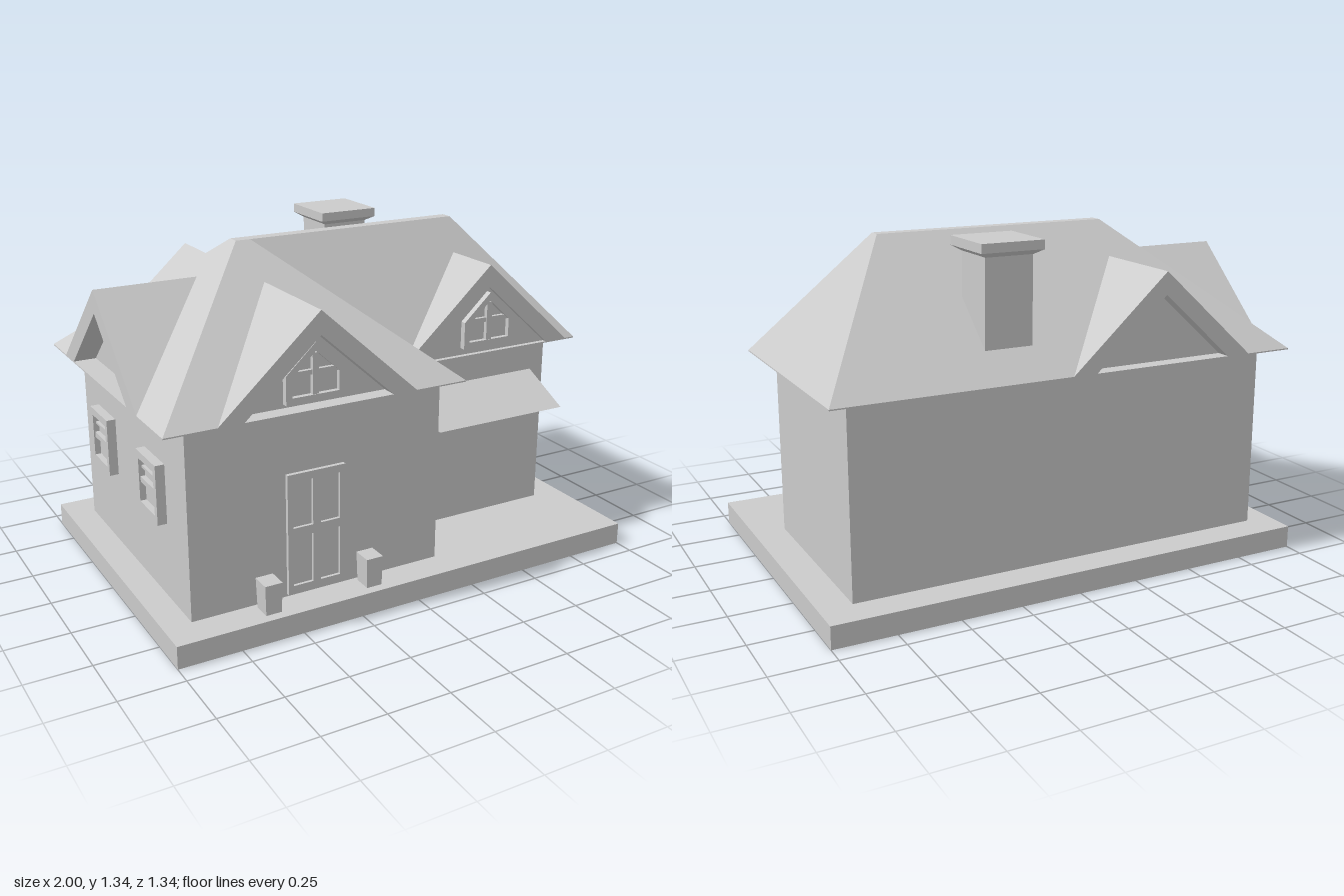
import * as THREE from 'three';

const material = new THREE.MeshStandardMaterial({ color: 0xcccccc, side: THREE.DoubleSide });
const EAVE = 0.84, RIDGE = 1.33, GABLE = 1.2;

function add(parent, name, geometry, x = 0, y = 0, z = 0) {
  const mesh = new THREE.Mesh(geometry, material);
  mesh.name = name;
  mesh.position.set(x, y, z);
  parent.add(mesh);
  return mesh;
}

function box(parent, name, x0, x1, y0, y1, z0, z1) {
  return add(parent, name, new THREE.BoxGeometry(x1 - x0, y1 - y0, z1 - z0),
    (x0 + x1) / 2, (y0 + y1) / 2, (z0 + z1) / 2);
}

const outline = (points) => new THREE.Shape(points.map(([x, y]) => new THREE.Vector2(x, y)));
// Plan outline given as [x, z]
const plan = (points) => outline(points.map(([x, z]) => [x, -z]));
const extrude = (shape, depth) => new THREE.ExtrudeGeometry(shape, { depth, bevelEnabled: false });

function planSlab(parent, name, points, y0, y1) {
  return add(parent, name, extrude(plan(points), y1 - y0).rotateX(-Math.PI / 2), 0, y0, 0);
}

// Roof surface: plan outline lifted by a height rule
function slope(parent, name, points, height) {
  const geometry = new THREE.ShapeGeometry(plan(points)).rotateX(-Math.PI / 2);
  const p = geometry.attributes.position;
  for (let i = 0; i < p.count; i++) p.setY(i, height(p.getX(i), p.getZ(i)));
  geometry.computeVertexNormals();
  return add(parent, name, geometry);
}
const rise = (t) => EAVE + (RIDGE - EAVE) * t;

// Peaked attic window with a cross of glazing bars, facing +z
function atticWindow(parent, x, bottom, z) {
  const g = new THREE.Group();
  g.name = 'atticWindow';
  const pane = (w, y0, y1, y2) => [[-w, y0], [w, y0], [w, y1], [0, y2], [-w, y1]];
  const frame = outline(pane(0.12, 0, 0.11, 0.22));
  frame.holes.push(outline(pane(0.095, 0.025, 0.1, 0.187)));
  add(g, 'windowFrame', extrude(frame, 0.025));
  add(g, 'windowGlass', new THREE.ShapeGeometry(outline(pane(0.1, 0.02, 0.1, 0.19))), 0, 0, 0.005);
  box(g, 'verticalBar', -0.012, 0.012, 0.02, 0.18, 0, 0.022);
  box(g, 'crossBar', -0.095, 0.095, 0.1, 0.118, 0, 0.02);
  g.position.set(x, bottom, z);
  parent.add(g);
}

// Gable in local space: front at z = 0, ridge running back along -z
function gable(parent, name, x, z, turn, length, wallSetback) {
  const g = new THREE.Group();
  g.name = name;
  const chevron = outline([[-0.4, EAVE], [-0.3, EAVE], [0, 1.11], [0.3, EAVE], [0.4, EAVE], [0, GABLE]]);
  add(g, 'gableRoof', extrude(chevron, length), 0, 0, -length);
  add(g, 'gableWall', new THREE.ShapeGeometry(outline([[-0.31, EAVE], [0.31, EAVE], [0, 1.115]])), 0, 0, -wallSetback);
  g.position.set(x, 0, z);
  g.rotation.y = turn;
  parent.add(g);
  return g;
}

// Sash window centred on its own origin, facing +z
function sashWindow(parent, x, y, z, turn) {
  const g = new THREE.Group();
  g.name = 'sashWindow';
  for (const s of [-1, 1]) {
    box(g, 'windowJamb', s * 0.085 - 0.012, s * 0.085 + 0.012, -0.115, 0.115, -0.018, 0.018);
    box(g, 'windowRail', -0.075, 0.075, s * 0.1 - 0.015, s * 0.1 + 0.015, -0.018, 0.018);
  }
  box(g, 'middleRail', -0.075, 0.075, -0.01, 0.012, -0.015, 0.012);
  box(g, 'upperBar', -0.075, 0.075, 0.045, 0.055, -0.01, 0.006);
  box(g, 'windowGlass', -0.08, 0.08, -0.1, 0.1, -0.015, -0.006);
  g.position.set(x, y, z);
  g.rotation.y = turn;
  parent.add(g);
}

export function createModel() {
  const house = new THREE.Group();
  house.name = 'house';

  box(house, 'foundation', -1, 1, 0, 0.09, -0.67, 0.67);

  // L-shaped walls and eaves
  planSlab(house, 'walls', [[-0.89, -0.54], [0.87, -0.54], [0.87, 0.265], [0.155, 0.265], [0.155, 0.54], [-0.89, 0.54]], 0.09, EAVE);
  planSlab(house, 'soffit', [[-0.99, -0.61], [0.955, -0.61], [0.955, 0.355], [0.23, 0.355], [0.23, 0.605], [-0.99, 0.605]], EAVE - 0.005, EAVE);

  // Hipped roof, notched where the gables break through
  const roof = new THREE.Group();
  roof.name = 'roof';
  house.add(roof);
  slope(roof, 'wingFrontSlope',
    [[-0.99, 0.605], [-0.79, 0.605], [-0.39, 0.16], [0.01, 0.605], [0.23, 0.605], [-0.37, 0], [-0.43, 0]],
    (x, z) => rise(1 - z / 0.605));
  slope(roof, 'wingInnerSlope', [[0.23, 0.605], [0.23, 0.355], [-0.37, 0]], (x) => rise((0.23 - x) / 0.6));
  slope(roof, 'mainFrontSlope',
    [[0.167, 0.318], [0.51, 0.095], [0.91, 0.355], [0.955, 0.355], [0.55, 0], [-0.37, 0]],
    (x, z) => rise(1 - z / 0.355));
  slope(roof, 'leftHip', [[0.955, 0.355], [0.955, -0.61], [0.55, -0.05], [0.55, 0]], (x) => rise((0.955 - x) / 0.405));
  slope(roof, 'backSlope',
    [[0.955, -0.61], [0.01, -0.61], [-0.39, -0.2], [-0.79, -0.61], [-0.99, -0.61], [-0.43, -0.05], [0.55, -0.05]],
    (x, z) => rise((z + 0.61) / 0.56));
  slope(roof, 'rightHip',
    [[-0.99, -0.61], [-0.99, -0.44], [-0.58, -0.04], [-0.99, 0.36], [-0.99, 0.605], [-0.43, 0], [-0.43, -0.05]],
    (x) => rise((x + 0.99) / 0.56));
  slope(roof, 'ridgeCap', [[-0.43, 0], [0.55, 0], [0.55, -0.05], [-0.43, -0.05]], () => RIDGE);

  // Gables on the front, back and right side
  const wingGable = gable(roof, 'wingGable', -0.39, 0.605, 0, 0.445, 0.065);
  atticWindow(wingGable, 0, 0.855, -0.065);
  const dormer = gable(roof, 'frontDormer', 0.51, 0.355, 0, 0.26, 0.02);
  atticWindow(dormer, 0, 0.87, -0.018);
  gable(roof, 'backGable', -0.39, -0.61, Math.PI, 0.41, 0.06);
  gable(roof, 'sideGable', -0.99, -0.04, -Math.PI / 2, 0.41, 0.09);

  // Chimney with a flared cap
  const chimney = new THREE.Group();
  chimney.name = 'chimney';
  house.add(chimney);
  box(chimney, 'chimneyShaft', 0.12, 0.315, 0.86, 1.3, -0.49, -0.3);
  const flare = new THREE.CylinderGeometry(0.129 * Math.SQRT2, 0.097 * Math.SQRT2, 0.02, 4).rotateY(Math.PI / 4).toNonIndexed();
  flare.computeVertexNormals();
  add(chimney, 'chimneyFlare', flare, 0.217, 1.295, -0.395);
  box(chimney, 'chimneyCap', 0.09, 0.345, 1.305, 1.34, -0.525, -0.265);

  // Panelled front door
  const doorFrame = outline([[-0.12, 0], [0.12, 0], [0.12, 0.485], [-0.12, 0.485]]);
  for (const [x0, x1] of [[-0.098, -0.016], [0.016, 0.098]])
    for (const [y0, y1] of [[0.035, 0.235], [0.27, 0.455]])
      doorFrame.holes.push(outline([[x0, y0], [x1, y0], [x1, y1], [x0, y1]]));
  add(house, 'doorFrame', extrude(doorFrame, 0.017), -0.385, 0.1, 0.539);
  box(house, 'doorPanel', -0.49, -0.28, 0.11, 0.57, 0.535, 0.544);

  // Planters beside the door
  for (const x of [-0.605, -0.18]) {
    const pot = new THREE.BoxGeometry(0.07, 0.12, 0.08);
    const p = pot.attributes.position;
    for (let i = 0; i < p.count; i++) if (p.getY(i) < 0) p.setXYZ(i, p.getX(i) * 0.9, p.getY(i), p.getZ(i) * 0.92);
    pot.computeVertexNormals();
    add(house, 'planter', pot, x, 0.15, 0.595);
  }

  // Wedge awning on the recessed front wall
  const wedge = extrude(outline([[-0.265, 0.59], [-0.265, 0.695], [-0.48, 0.59]]), 0.6).rotateY(Math.PI / 2);
  add(house, 'awning', wedge, 0.205, 0, 0);

  // Windows on the right side wall
  for (const z of [-0.2, 0.31]) sashWindow(house, -0.932, 0.545, z, -Math.PI / 2);

  return house;
}
